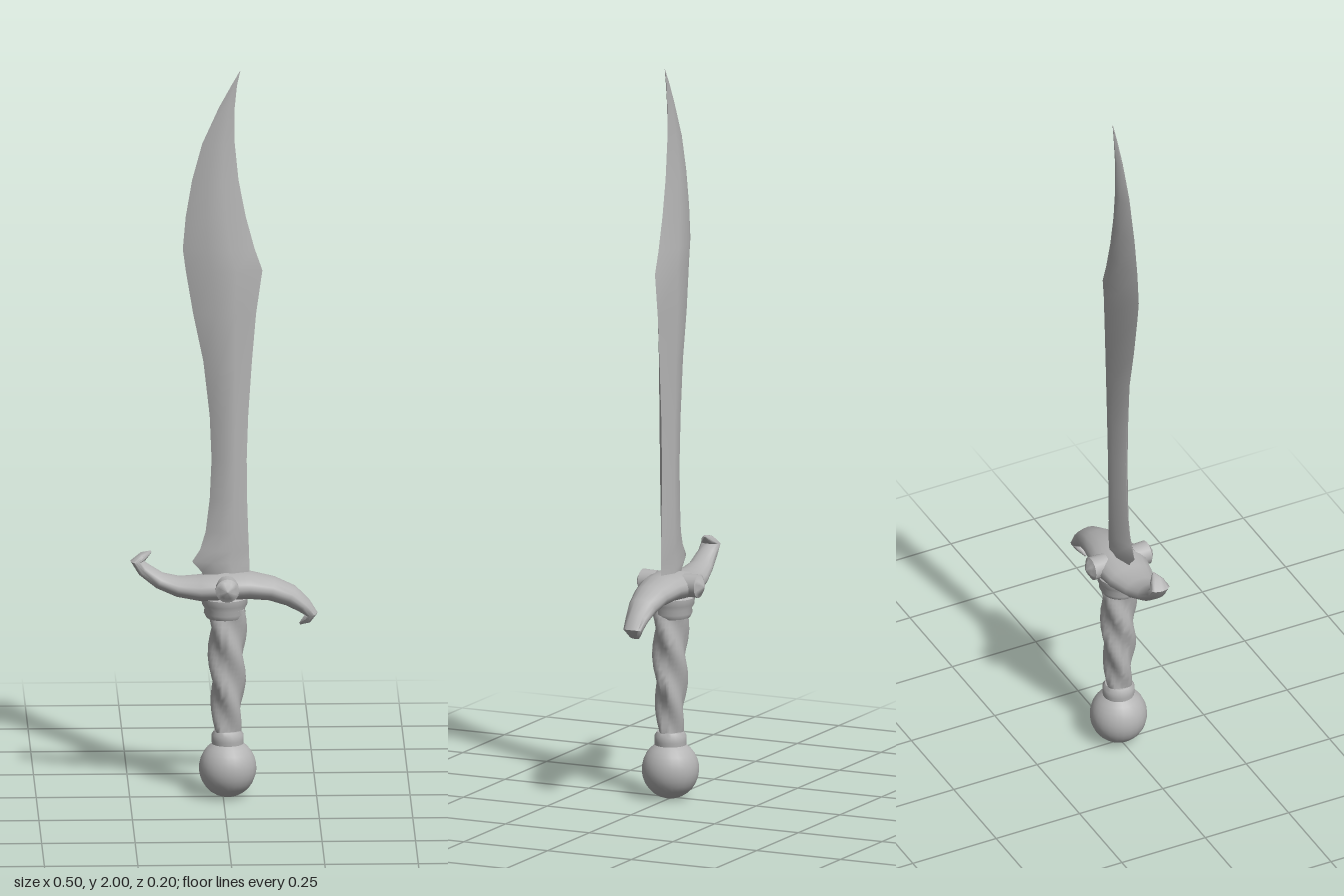
import * as THREE from 'three';
import { toCreasedNormals } from 'three/addons/utils/BufferGeometryUtils.js';

const steel = new THREE.MeshStandardMaterial({ color: 0xb4b4b4 });
steel.name = 'grey steel';

// Skin a list of closed rings (arrays of [x, y, z]) and close both ends.
function loft(rings, crease) {
  const n = rings[0].length;
  const mean = (r) => [0, 1, 2].map((k) => r.reduce((s, p) => s + p[k], 0) / n);
  const all = [
    rings[0].map(() => mean(rings[0])),
    ...rings,
    rings[0].map(() => mean(rings[rings.length - 1])),
  ];
  const index = [];
  for (let i = 0; i < all.length - 1; i++) {
    for (let j = 0; j < n; j++) {
      const a = i * n + j, b = i * n + (j + 1) % n, c = a + n, d = b + n;
      if (i > 0) index.push(a, c, b);
      else index.push(a, c, d);
      if (i > 0 && i < all.length - 2) index.push(b, c, d);
    }
  }
  const geo = new THREE.BufferGeometry();
  geo.setAttribute('position', new THREE.Float32BufferAttribute(all.flat(2), 3));
  geo.setIndex(index);
  return toCreasedNormals(geo, crease);
}

function part(name, geo, parent) {
  const mesh = new THREE.Mesh(geo, steel);
  mesh.name = name;
  parent.add(mesh);
  return mesh;
}

// Six-sided blade section, set by its left and right edges and thickness.
function bladeRing([y, left, right, front, back]) {
  const mid = (left + right) / 2, w = (right - left) * 0.16;
  return [
    [right, y, 0], [mid + w, y, front], [mid - w, y, front],
    [left, y, 0], [mid - w, y, -back], [mid + w, y, -back],
  ];
}

function buildBlade(parent) {
  // y, left edge, right edge, front depth, back depth
  const stations = [
    [0.58, -0.04, 0.065, 0.02, 0.02],
    [0.62, -0.058, 0.07, 0.02, 0.02],
    [0.648, -0.083, 0.07, 0.02, 0.02],
    [0.68, -0.062, 0.069, 0.02, 0.02],
    [0.73, -0.047, 0.067, 0.02, 0.021],
    [0.82, -0.036, 0.064, 0.021, 0.021],
    [0.93, -0.031, 0.063, 0.022, 0.022],
    [1.05, -0.036, 0.067, 0.023, 0.024],
    [1.2, -0.053, 0.077, 0.024, 0.027],
    [1.33, -0.08, 0.088, 0.024, 0.031],
    [1.45, -0.1, 0.105, 0.024, 0.032],
    [1.51, -0.108, 0.084, 0.023, 0.029],
    [1.6, -0.1, 0.06, 0.021, 0.026],
    [1.7, -0.083, 0.041, 0.017, 0.021],
    [1.8, -0.056, 0.031, 0.013, 0.014],
    [1.9, -0.011, 0.031, 0.008, 0.008],
    [1.96, 0.022, 0.037, 0.004, 0.004],
    [2.0, 0.045, 0.046, 0.0005, 0.0005],
  ];
  part('blade', loft(stations.map(bladeRing), 0.9), parent);
}

function buildGuard(parent) {
  // x, y, half height, half depth along the S-shaped bar
  const stations = [
    [-0.193, 0.677, 0.003, 0.003],
    [-0.214, 0.664, 0.012, 0.02],
    [-0.231, 0.651, 0.017, 0.028],
    [-0.213, 0.628, 0.019, 0.028],
    [-0.17, 0.597, 0.022, 0.035],
    [-0.12, 0.58, 0.027, 0.047],
    [-0.06, 0.576, 0.034, 0.064],
    [0.005, 0.582, 0.041, 0.075],
    [0.07, 0.583, 0.036, 0.063],
    [0.13, 0.573, 0.032, 0.05],
    [0.18, 0.553, 0.029, 0.04],
    [0.215, 0.527, 0.022, 0.032],
    [0.237, 0.502, 0.016, 0.028],
    [0.225, 0.488, 0.012, 0.018],
    [0.205, 0.475, 0.003, 0.003],
  ];
  const sides = 16;
  const rings = stations.map(([x, y, h, d], i) => {
    const p = stations[Math.max(i - 1, 0)], q = stations[Math.min(i + 1, stations.length - 1)];
    const t = new THREE.Vector2(q[0] - p[0], q[1] - p[1]).normalize();
    return Array.from({ length: sides }, (_, j) => {
      const a = (j / sides) * Math.PI * 2;
      return [x + t.y * h * Math.cos(a), y - t.x * h * Math.cos(a), d * Math.sin(a)];
    });
  });
  part('crossguard', loft(rings, 1.1), parent);

  // Pointed studs on both faces of the guard
  const profile = [[0, 0.04], [0.031, 0.04], [0.032, 0.084], [0.024, 0.088], [0.019, 0.092], [0, 0.101]];
  for (const side of [1, -1]) {
    const geo = toCreasedNormals(new THREE.LatheGeometry(profile.map((p) => new THREE.Vector2(...p)), 16), 0.6);
    const stud = part(side > 0 ? 'frontStud' : 'backStud', geo, parent);
    stud.rotation.x = side * Math.PI / 2;
    stud.position.set(0.009, 0.587, 0);
  }
}

function buildGrip(parent) {
  // Three-lobed handle twisting as it rises
  const steps = 24, sides = 30, rings = [];
  for (let i = 0; i <= steps; i++) {
    const t = i / steps, y = 0.17 + t * 0.35;
    const base = 0.033 + 0.014 * Math.sin(Math.min(t * 1.35, 1) * Math.PI / 2);
    rings.push(Array.from({ length: sides }, (_, j) => {
      const a = (j / sides) * Math.PI * 2;
      const r = base * (1 + 0.13 * Math.cos(3 * (a - t * 5)));
      return [0.011 + r * Math.cos(a), y, r * 0.93 * Math.sin(a)];
    }));
  }
  part('twistedGrip', loft(rings, 1.1), parent);

  // Turned collar below the guard
  const collar = [[0.03, 0.492], [0.049, 0.495], [0.056, 0.508], [0.054, 0.52], [0.061, 0.532], [0.062, 0.55], [0.03, 0.57]];
  const collarGeo = new THREE.LatheGeometry(collar.map((p) => new THREE.Vector2(...p)), 24);
  part('collar', toCreasedNormals(collarGeo, 0.8), parent).position.x = 0.004;
}

function buildPommel(parent) {
  // Ball with a short neck ring
  const profile = [];
  for (let i = 0; i <= 12; i++) {
    const a = -Math.PI / 2 + (i / 12) * 2.56;
    profile.push(new THREE.Vector2(Math.max(0, 0.077 * Math.cos(a)), 0.08 + 0.08 * Math.sin(a)));
  }
  for (const p of [[0.043, 0.157], [0.043, 0.172], [0.036, 0.183], [0, 0.184]]) profile.push(new THREE.Vector2(...p));
  part('pommel', toCreasedNormals(new THREE.LatheGeometry(profile, 24), 0.8), parent).position.x = 0.012;
}

export function createModel() {
  const sword = new THREE.Group();
  sword.name = 'curvedSword';
  buildBlade(sword);
  buildGuard(sword);
  buildGrip(sword);
  buildPommel(sword);
  return sword;
}
